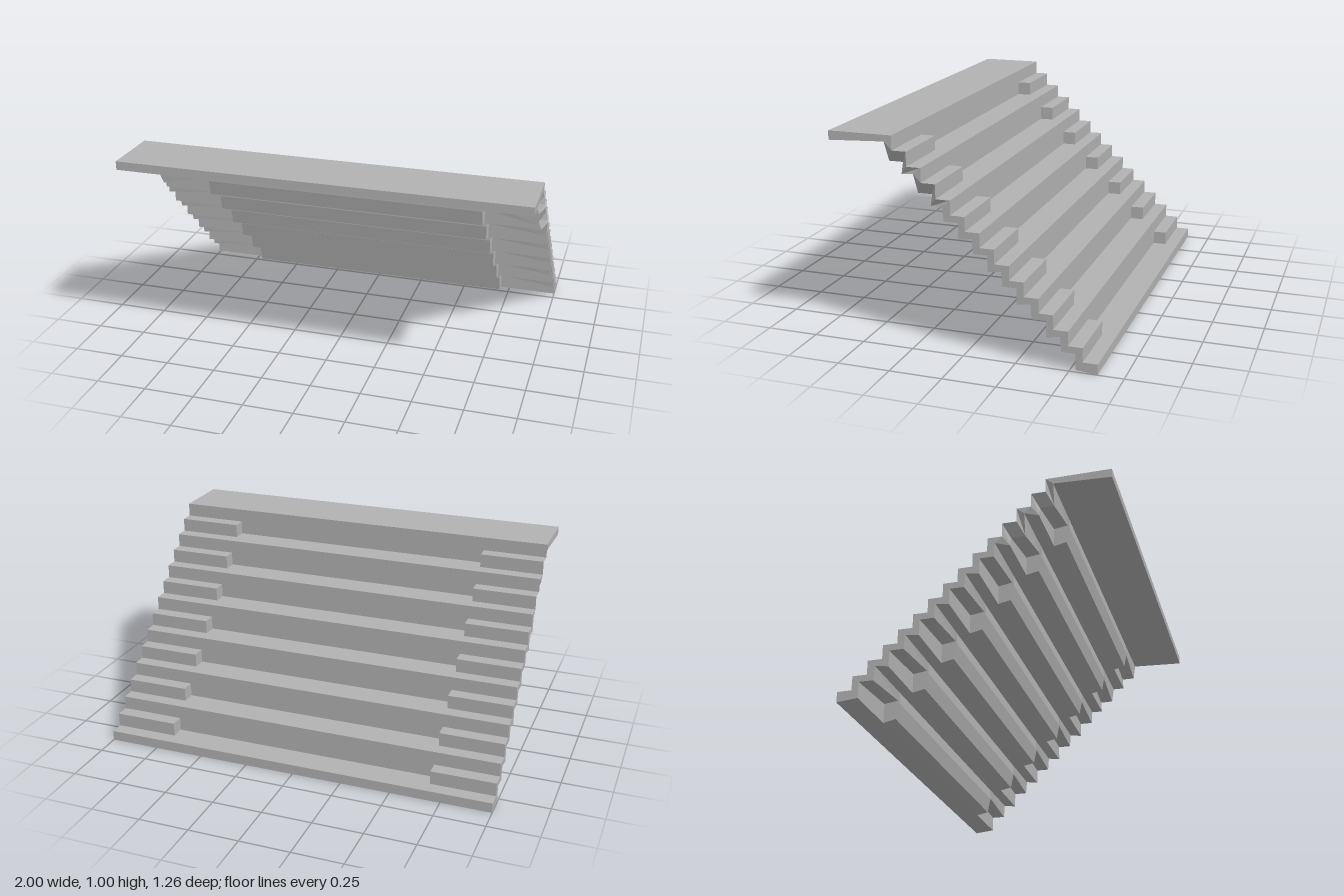
import * as THREE from 'three';

const STEPS = 7, RUN = 0.136, RISE = 0.1357;
const Z0 = -0.63, Y0 = 0.05, FRONT = 0.63;
const HALF = 1, AISLE = 0.68, SOFFIT = 0.705; // half widths

export function createModel() {
  const group = new THREE.Group();
  group.name = 'steppedSeating';
  const concrete = new THREE.MeshStandardMaterial({ color: 0xb2b2b2, side: THREE.DoubleSide });
  concrete.name = 'concrete';

  // Collects flat quads and turns them into one named mesh
  function part(name, fill) {
    const pos = [];
    const quad = (a, b, c, d) => [a, b, c, a, c, d].forEach((p) => pos.push(...p));
    const strip = (a, b) => {
      for (let i = 0; i + 1 < a.length; i++) quad(a[i], a[i + 1], b[i + 1], b[i]);
    };
    const flip = (line) => line.map(([x, y, z]) => [-x, y, z]);
    const both = (a, b) => { strip(a, b); strip(flip(b), flip(a)); };
    fill(strip, both);
    const geo = new THREE.BufferGeometry();
    geo.setAttribute('position', new THREE.Float32BufferAttribute(pos, 3));
    geo.computeVertexNormals();
    const mesh = new THREE.Mesh(geo, concrete);
    mesh.name = name;
    group.add(mesh);
  }

  // Lift a [z, y] profile to a line at a given x
  const at = (x, profile) => profile.map(([z, y]) => [x, y, z]);

  // All profiles of one bay, from the back of its tread to the next tread
  function bay(k) {
    const z = Z0 + k * RUN, y = Y0 + k * RISE;
    const p = (dz, dy) => [z + dz, y + dy];
    const start = k === 0 ? [Z0, 0] : p(0.036, -0.03);
    const end = p(RUN + 0.036, RISE - 0.03);
    const pinched = k >= STEPS - 2;
    const outer = at(HALF, [start, p(0.1, -0.04), p(0.1, 0.037), p(0.167, 0.037), end]);
    if (pinched) { // chipped outer ends of the two highest bays
      for (const i of [2, 3]) { outer[i][0] = 0.962; outer[i][1] = y + 0.01; }
      outer[1][0] = 0.98;
    }
    return {
      tread: [p(0, 0), p(RUN, 0), p(RUN, RISE)],
      halfStep: [p(0, 0), p(RUN / 2, 0), p(RUN / 2, RISE / 2), p(RUN, RISE / 2), p(RUN, RISE)],
      beam: [start, p(0.098, -0.04), p(0.16, -0.027), p(0.175, 0.05), end],
      inner: [start, p(0.1, -0.04), p(0.1, 0.055), p(0.167, 0.065), end],
      outer,
    };
  }
  const bays = Array.from({ length: STEPS }, (_, k) => bay(k));

  // Wide seating steps
  part('seatingSteps', (strip) => {
    for (const b of bays) strip(at(-AISLE, b.tread), at(AISLE, b.tread));
    strip(at(-HALF, [[Z0, 0], [Z0, Y0]]), at(HALF, [[Z0, 0], [Z0, Y0]]));
  });

  // Smaller aisle steps on both sides, with their inner cheeks
  part('aisleSteps', (strip, both) => {
    for (const b of bays) {
      both(at(AISLE, b.halfStep), at(HALF, b.halfStep));
      const [, u1, u2, u3] = b.halfStep;
      both(at(AISLE, [u2, u1]), at(AISLE, [u3, b.tread[1]]));
    }
  });

  // Underside of the seating, deeper than the aisles
  part('seatingUnderside', (strip, both) => {
    for (const b of bays) {
      strip(at(SOFFIT, b.beam), at(-SOFFIT, b.beam));
      both(at(SOFFIT, b.inner), at(SOFFIT, b.beam));
    }
  });

  // Underside of the aisles
  part('aisleUnderside', (strip, both) => {
    for (const b of bays) both(b.outer, at(SOFFIT, b.inner));
  });

  // Stepped end faces
  part('endFaces', (strip, both) => {
    for (const b of bays) both(at(HALF, b.halfStep), b.outer);
  });

  // Top walkway
  part('topWalkway', (strip, both) => {
    const zr = Z0 + STEPS * RUN;
    const top = [[zr, 1], [FRONT, 1]];
    const under = [[zr + 0.036, 0.97], [FRONT, 0.957]];
    strip(at(-HALF, top), at(HALF, top));
    strip(at(HALF, under), at(-HALF, under));
    const lip = [top[1], under[1]];
    strip(at(-HALF, lip), at(HALF, lip));
    both(at(HALF, top), at(HALF, under));
  });

  return group;
}
